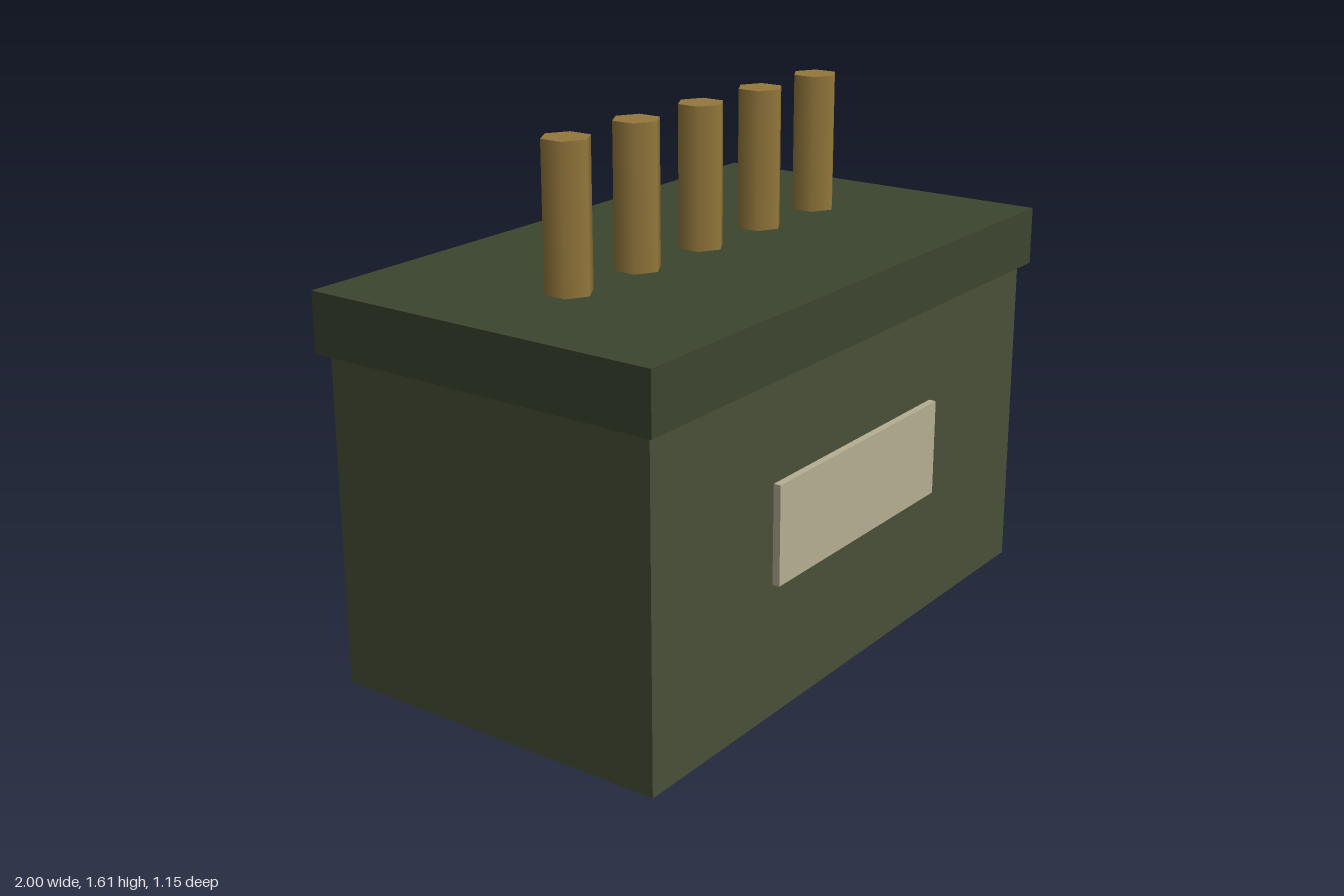
import * as THREE from 'three';

const mat = (color) => new THREE.MeshStandardMaterial({ color });

export function createModel() {
  const model = new THREE.Group();
  model.name = 'terminalBox';

  const add = (name, geometry, material, x, y, z) => {
    const mesh = new THREE.Mesh(geometry, material);
    mesh.name = name;
    mesh.position.set(x, y, z);
    model.add(mesh);
  };

  const box = (name, w, bottom, top, d, material, z = 0) =>
    add(name, new THREE.BoxGeometry(w, top - bottom, d), material, 0, (bottom + top) / 2, z);

  // Case, overhanging lid and the plate on the front
  box('case', 1.94, 0, 1.005, 1.095, mat(0x485036));
  box('lid', 2, 1.003, 1.183, 1.152, mat(0x3c452f));
  box('frontPlate', 0.846, 0.4, 0.697, 0.04, mat(0xb5ae92), 0.55);

  // Row of hexagonal pins standing on the lid
  const pinBottom = 1.17, pinTop = 1.608;
  const pinGeometry = new THREE.CylinderGeometry(0.071, 0.071, pinTop - pinBottom, 6);
  const brass = mat(0x94783c);
  for (let i = -2; i <= 2; i++) {
    add(`pin${i + 3}`, pinGeometry, brass, i * 0.303, (pinBottom + pinTop) / 2, 0);
  }

  return model;
}
